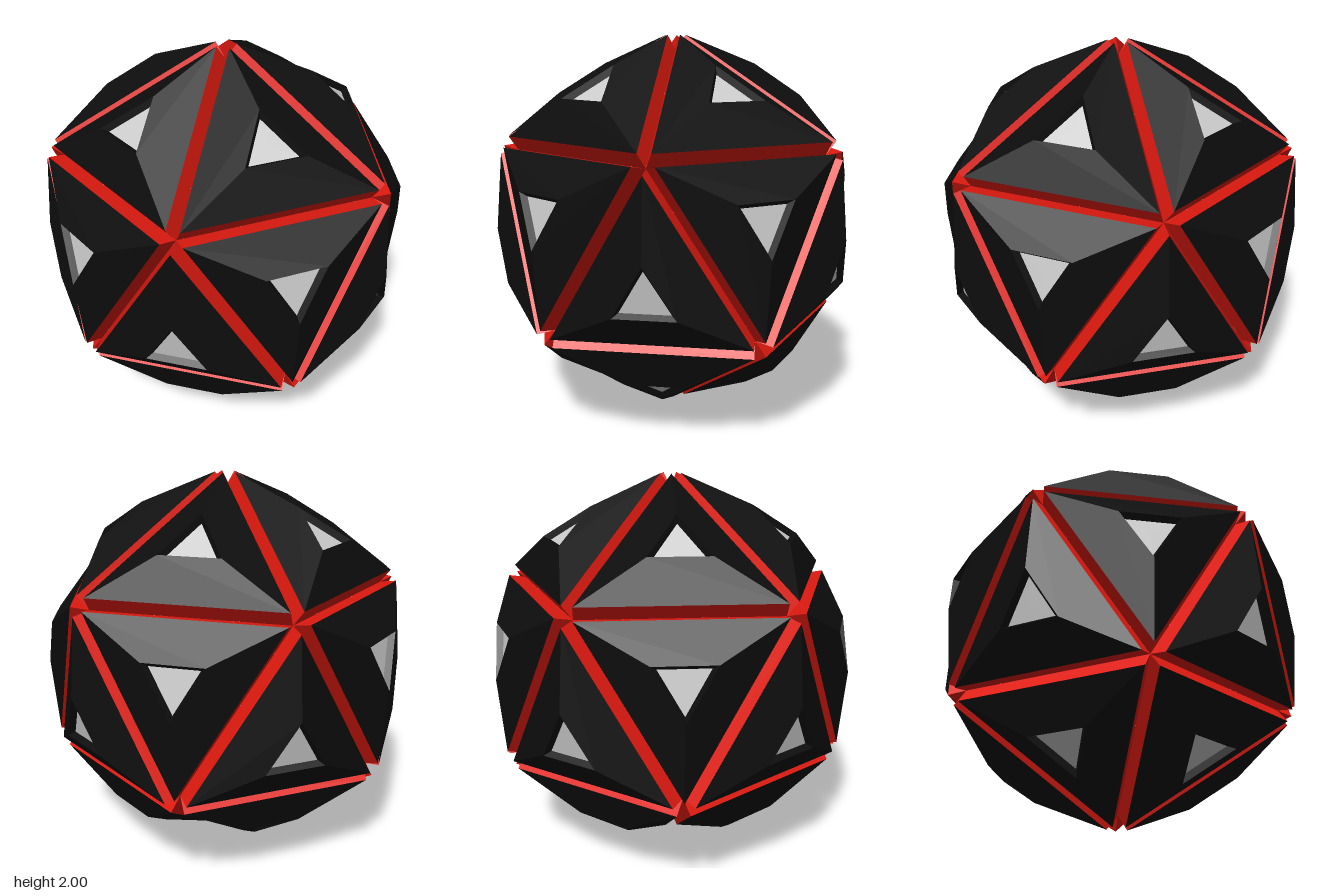
import * as THREE from 'three';

const RIM = 0.563;   // corner radius of a panel
const HOLE = 0.176;  // corner radius of the raised opening
const FLOOR = 0.143; // corner radius of the recess floor
const D_CORE = 0.737, D_RIM = 0.828, D_TOP = 0.937, D_FLOOR = 0.906; // distances from the centre

const black = new THREE.MeshStandardMaterial({ color: 0x0d0d0d, flatShading: true });
const red = new THREE.MeshStandardMaterial({ color: 0xe01a10, flatShading: true });
const grey = new THREE.MeshStandardMaterial({ color: 0xcccccc, flatShading: true });

// Three-sided lathe with crisp faces; one corner points to +z
function triLathe(profile) {
  const points = profile.map(([r, y]) => new THREE.Vector2(r, y));
  const geometry = new THREE.LatheGeometry(points, 3).toNonIndexed();
  geometry.computeVertexNormals();
  return geometry;
}

function part(name, geometry, material) {
  const mesh = new THREE.Mesh(geometry, material);
  mesh.name = name;
  return mesh;
}

export function createModel() {
  const model = new THREE.Group();
  model.name = 'panelledIcosahedron';

  // Walls of the V-shaped grooves, meeting between neighbouring panels
  const wallGeo = triLathe([[RIM, D_CORE], [RIM, D_RIM]]);
  // Sloping panel, then down into the recess
  const panelGeo = triLathe([[RIM, D_RIM], [HOLE, D_TOP], [FLOOR, D_FLOOR]]);
  const floorGeo = new THREE.CircleGeometry(FLOOR, 3)
    .rotateX(-Math.PI / 2).rotateY(-Math.PI / 2).translate(0, D_FLOOR, 0);

  // Four bands of five faces: polar angle, first azimuth, corner up (1) or down (-1)
  const bands = [
    ['top', 37.377, 36, 1],
    ['upper', 79.188, 36, -1],
    ['lower', 100.812, 0, 1],
    ['bottom', 142.623, 0, -1],
  ];
  for (const [band, polar, start, dir] of bands) {
    for (let k = 0; k < 5; k++) {
      const p = THREE.MathUtils.degToRad(polar);
      const a = THREE.MathUtils.degToRad(start + 72 * k);
      const normal = new THREE.Vector3(Math.sin(p) * Math.cos(a), Math.cos(p), Math.sin(p) * Math.sin(a));
      const corner = new THREE.Vector3(-Math.cos(p) * Math.cos(a), Math.sin(p), -Math.cos(p) * Math.sin(a))
        .multiplyScalar(dir);
      const side = new THREE.Vector3().crossVectors(normal, corner);

      const face = new THREE.Group();
      face.name = `${band}Face${k + 1}`;
      face.quaternion.setFromRotationMatrix(new THREE.Matrix4().makeBasis(side, normal, corner));
      face.position.y = 1;
      face.add(
        part('grooveWall', wallGeo, red),
        part('panel', panelGeo, black),
        part('recessFloor', floorGeo, grey),
      );
      model.add(face);
    }
  }
  return model;
}
